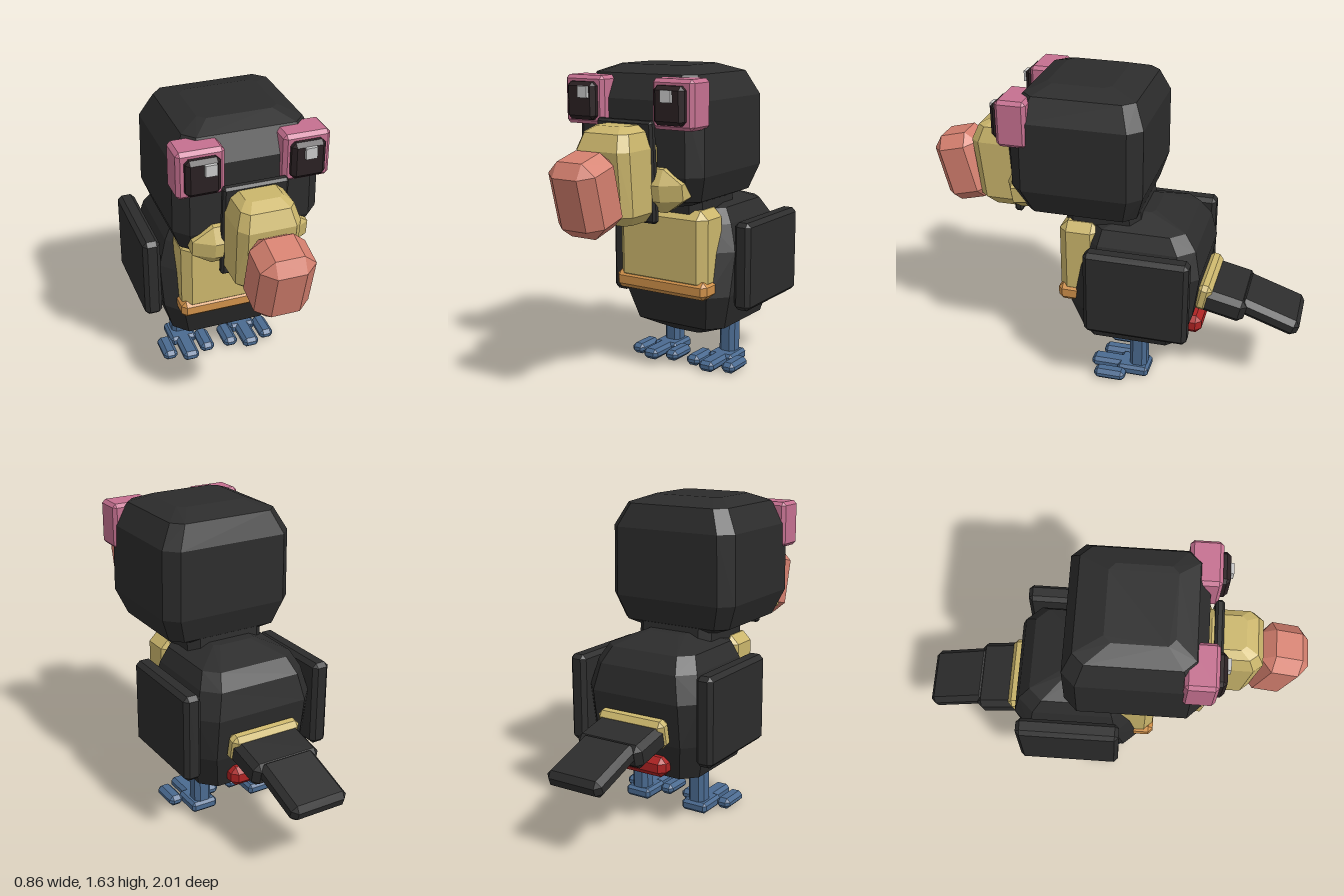
import * as THREE from 'three';
import { ConvexGeometry } from 'three/addons/geometries/ConvexGeometry.js';

const paint = (name, color) => {
  const m = new THREE.MeshStandardMaterial({ color });
  m.name = name;
  return m;
};

// Box from min/max ranges with bevelled edges; bevel is one number or [x, y, z]
function bevelBox(w, h, d, bevel) {
  const [bx, by, bz] = Array.isArray(bevel) ? bevel : [bevel, bevel, bevel];
  const X = w / 2, Y = h / 2, Z = d / 2, pts = [];
  for (const i of [-1, 1]) for (const j of [-1, 1]) for (const k of [-1, 1]) {
    pts.push(
      new THREE.Vector3(i * X, j * (Y - by), k * (Z - bz)),
      new THREE.Vector3(i * (X - bx), j * Y, k * (Z - bz)),
      new THREE.Vector3(i * (X - bx), j * (Y - by), k * Z));
  }
  return new ConvexGeometry(pts);
}

// Faceted solid from stacked rings: [y, half width, front z, back z]
function ringSolid(rings, bx, bz) {
  const pts = [];
  for (const [y, w, zf, zb] of rings) for (const s of [-1, 1]) {
    const inset = (zf - zb) * bz;
    pts.push(
      new THREE.Vector3(s * w, y, zf - inset), new THREE.Vector3(s * w, y, zb + inset),
      new THREE.Vector3(s * w * bx, y, zf), new THREE.Vector3(s * w * bx, y, zb));
  }
  return new ConvexGeometry(pts);
}

export function createModel() {
  const black = paint('black feathers', 0x2c2c2c);
  const dark = paint('pupil brown black', 0x2a2022);
  const yellow = paint('pale yellow', 0xcbb66c);
  const salmon = paint('salmon beak', 0xd5806f);
  const pink = paint('pink eye rim', 0xc57090);
  const orange = paint('orange band', 0xd0914a);
  const blue = paint('blue legs', 0x4a6a90);
  const red = paint('red vent', 0xad2323);
  const grey = paint('light grey glint', 0xc8c8c8);

  const bird = new THREE.Group();
  bird.name = 'bird';
  const add = (name, geometry, material, x = 0, y = 0, z = 0, tilt = 0) => {
    const mesh = new THREE.Mesh(geometry, material);
    mesh.name = name;
    mesh.position.set(x, y, z);
    mesh.rotation.x = tilt;
    bird.add(mesh);
    return mesh;
  };

  // Body, neck and head
  add('body', ringSolid([
    [0.18, 0.10, 0.00, -0.20],
    [0.26, 0.28, 0.14, -0.40],
    [0.45, 0.335, 0.20, -0.46],
    [0.68, 0.34, 0.15, -0.49],
    [0.82, 0.30, 0.12, -0.46],
    [0.90, 0.26, 0.09, -0.40],
    [0.96, 0.12, -0.10, -0.22],
  ], 0.75, 0.14), black);
  add('neck', bevelBox(0.44, 0.2, 0.4, 0.05), black, 0, 0.95, 0.04, 0.08);
  add('head', ringSolid([
    [0.95, 0.22, 0.34, -0.10],
    [0.99, 0.32, 0.42, -0.16],
    [1.12, 0.37, 0.48, -0.20],
    [1.48, 0.365, 0.48, -0.20],
    [1.60, 0.30, 0.42, -0.15],
    [1.64, 0.20, 0.32, -0.01],
  ], 0.82, 0.1), black);

  // Chest
  add('chestPatch', bevelBox(0.54, 0.42, 0.22, 0.045), yellow, 0, 0.70, 0.15);
  add('chestBand', bevelBox(0.56, 0.095, 0.13, 0.025), orange, 0, 0.498, 0.2);

  // Beak
  add('cheeks', bevelBox(0.59, 0.22, 0.17, [0.1, 0.07, 0.05]), yellow, 0, 1.055, 0.455, 0.15);
  add('beakBand', bevelBox(0.325, 0.5, 0.045, 0.012), black, 0, 1.14, 0.522, 0.06);
  add('beakBase', ringSolid([
    [0.90, 0.11, 0.68, 0.46],
    [0.95, 0.15, 0.73, 0.45],
    [1.26, 0.155, 0.765, 0.45],
    [1.34, 0.13, 0.73, 0.46],
    [1.37, 0.09, 0.67, 0.50],
  ], 0.75, 0.15), yellow);
  add('beakTip', bevelBox(0.27, 0.375, 0.25, [0.065, 0.06, 0.055]), salmon, 0, 1.07, 0.85, 0.25);

  // Tail
  add('tailCuff', bevelBox(0.4, 0.15, 0.08, 0.025), yellow, 0, 0.525, -0.497, -0.2);
  add('tailBase', bevelBox(0.385, 0.13, 0.26, 0.03), black, 0, 0.487, -0.595, -0.22);
  add('tailTip', bevelBox(0.32, 0.095, 0.34, 0.028), black, 0, 0.437, -0.838, -0.33);
  add('vent', bevelBox(0.34, 0.105, 0.1, 0.03), red, 0, 0.33, -0.442);

  // Mirrored parts
  for (const s of [-1, 1]) {
    const side = s > 0 ? 'left' : 'right';
    add(side + 'Wing', bevelBox(0.095, 0.465, 0.545, 0.022), black, s * 0.383, 0.607, -0.19);

    // Eye: rim, pupil and glint
    add(side + 'EyeRim', bevelBox(0.235, 0.24, 0.16, 0.018), pink, s * 0.26, 1.47, 0.448);
    add(side + 'Pupil', bevelBox(0.17, 0.185, 0.06, 0.02), dark, s * 0.257, 1.467, 0.536);
    add(side + 'Glint', new THREE.BoxGeometry(0.057, 0.057, 0.03), grey,
      s > 0 ? 0.258 : -0.228, 1.512, 0.567);

    // Leg and foot
    add(side + 'Leg', bevelBox(0.095, 0.26, 0.095, 0.022), blue, s * 0.18, 0.16, -0.162);
    add(side + 'Heel', bevelBox(0.15, 0.058, 0.17, 0.015), blue, s * 0.18, 0.035, -0.138);
    add(side + 'MiddleToe', bevelBox(0.09, 0.058, 0.2, 0.018), blue, s * 0.18, 0.035, 0.0);
    for (const t of [-1, 1]) {
      add(side + 'SideToe', bevelBox(0.08, 0.058, 0.17, 0.02), blue, s * 0.18 + t * 0.11, 0.035, -0.025);
    }
  }
  return bird;
}
